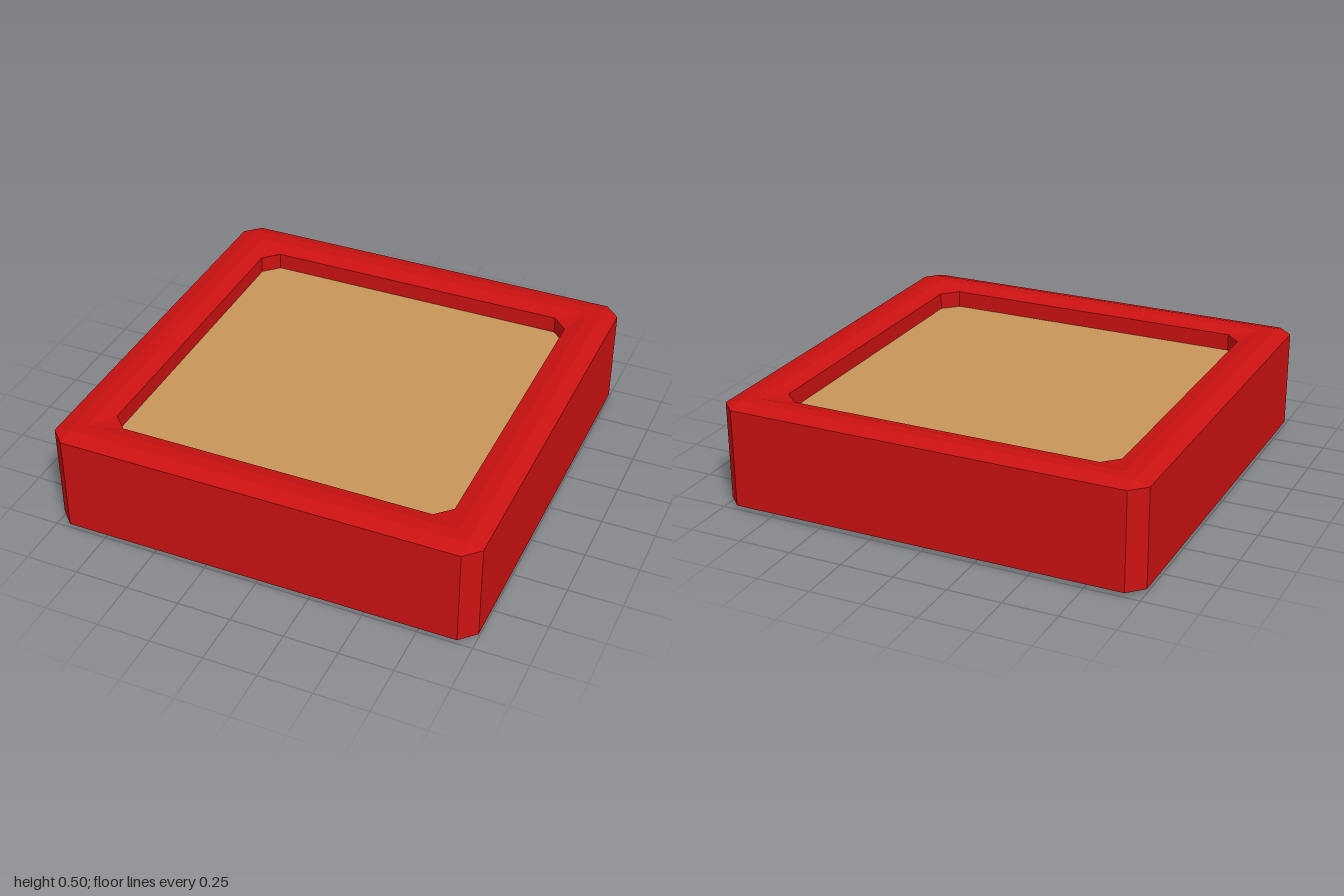
import * as THREE from 'three';

// Square ring with cut corners: half width, corner cut and height
function ring([half, cut, y]) {
  const pts = [];
  const c = half - cut;
  for (const [sx, sz] of [[1, 1], [-1, 1], [-1, -1], [1, -1]]) {
    const pair = [new THREE.Vector3(sx * half, y, sz * c), new THREE.Vector3(sx * c, y, sz * half)];
    if (sx * sz < 0) pair.reverse();
    pts.push(...pair);
  }
  return pts;
}

// Skins consecutive rings with flat faces, skipping collapsed triangles
function loft(sections) {
  const rings = sections.map(ring);
  const tri = new THREE.Triangle();
  const verts = [];
  const add = (a, b, c) => {
    if (tri.set(a, b, c).getArea() > 1e-7) verts.push(a, b, c);
  };
  for (let i = 0; i < rings.length - 1; i++) {
    const low = rings[i], high = rings[i + 1];
    for (let k = 0; k < 8; k++) {
      const n = (k + 1) % 8;
      add(low[k], high[k], high[n]);
      add(low[k], high[n], low[n]);
    }
  }
  const geometry = new THREE.BufferGeometry().setFromPoints(verts);
  geometry.computeVertexNormals();
  return geometry;
}

function part(name, sections, color) {
  const material = new THREE.MeshStandardMaterial({ color, flatShading: true });
  const mesh = new THREE.Mesh(loft(sections), material);
  mesh.name = name;
  return mesh;
}

export function createModel() {
  const group = new THREE.Group();
  group.name = 'sandbox';

  // Bevelled tray: underside, outer wall, rim, then inner wall
  group.add(part('frame', [
    [0, 0, 0],
    [0.93, 0, 0],
    [1, 0.07, 0.02],
    [1, 0.07, 0.48],
    [0.93, 0, 0.5],
    [0.87, 0, 0.5],
    [0.8, 0.07, 0.48],
    [0.8, 0.07, 0.4],
  ], 0xcc1111));

  // Flat sand filling
  group.add(part('sand', [[0.8, 0.07, 0.4], [0, 0, 0.4]], 0xc8965a));

  return group;
}
